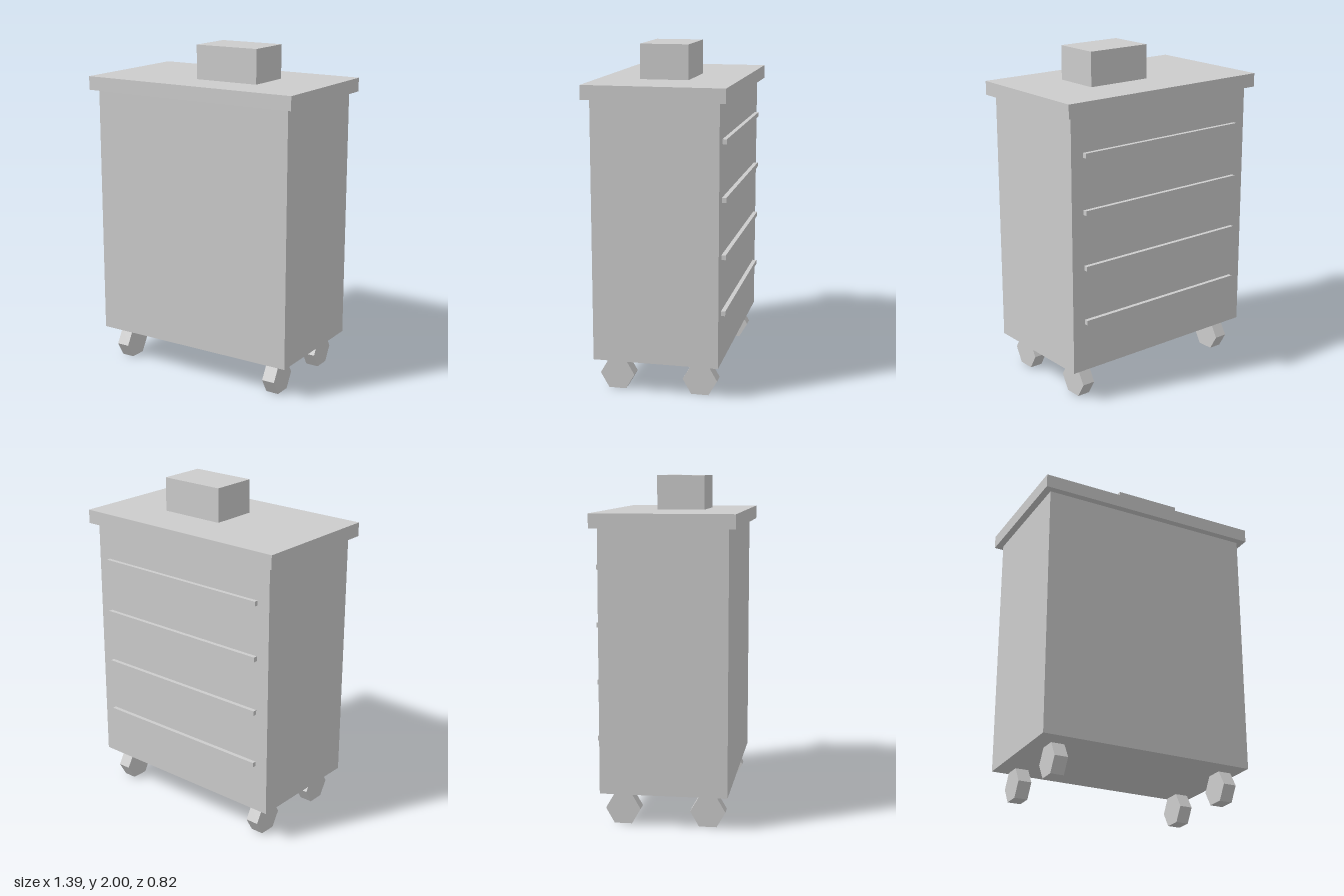
import * as THREE from 'three';

export function createModel() {
  const model = new THREE.Group();
  model.name = 'drawerCabinet';

  const grey = new THREE.MeshStandardMaterial({ color: 0xcccccc, flatShading: true });
  grey.name = 'lightGrey';

  const add = (name, geometry, x, y, z) => {
    const mesh = new THREE.Mesh(geometry, grey);
    mesh.name = name;
    mesh.position.set(x, y, z);
    model.add(mesh);
  };

  // Box given by its minimum and maximum corners
  const addBox = (name, min, max) => {
    const size = max.map((v, i) => v - min[i]);
    const centre = max.map((v, i) => (v + min[i]) / 2);
    add(name, new THREE.BoxGeometry(...size), ...centre);
  };

  // Cabinet, overhanging worktop and the small box standing on it
  addBox('cabinetBody', [-0.656, 0.196, -0.368], [0.651, 1.715, 0.368]);
  addBox('worktop', [-0.698, 1.715, -0.409], [0.692, 1.797, 0.409]);
  addBox('topBox', [-0.085, 1.797, -0.124], [0.323, 2, 0.161]);

  // Four drawer handles across the back
  for (let i = 0; i < 4; i++) {
    const y = 0.5 + i * 0.33;
    addBox('drawerHandle', [-0.575, y - 0.014, -0.393], [0.57, y + 0.014, -0.366]);
  }

  // Six-sided wheels, one under each corner
  const wheel = new THREE.CylinderGeometry(0.102, 0.102, 0.08, 6);
  wheel.rotateZ(Math.PI / 2);
  for (const x of [-0.537, 0.532]) {
    for (const z of [-0.247, 0.247]) add('wheel', wheel, x, 0.089, z);
  }

  return model;
}
